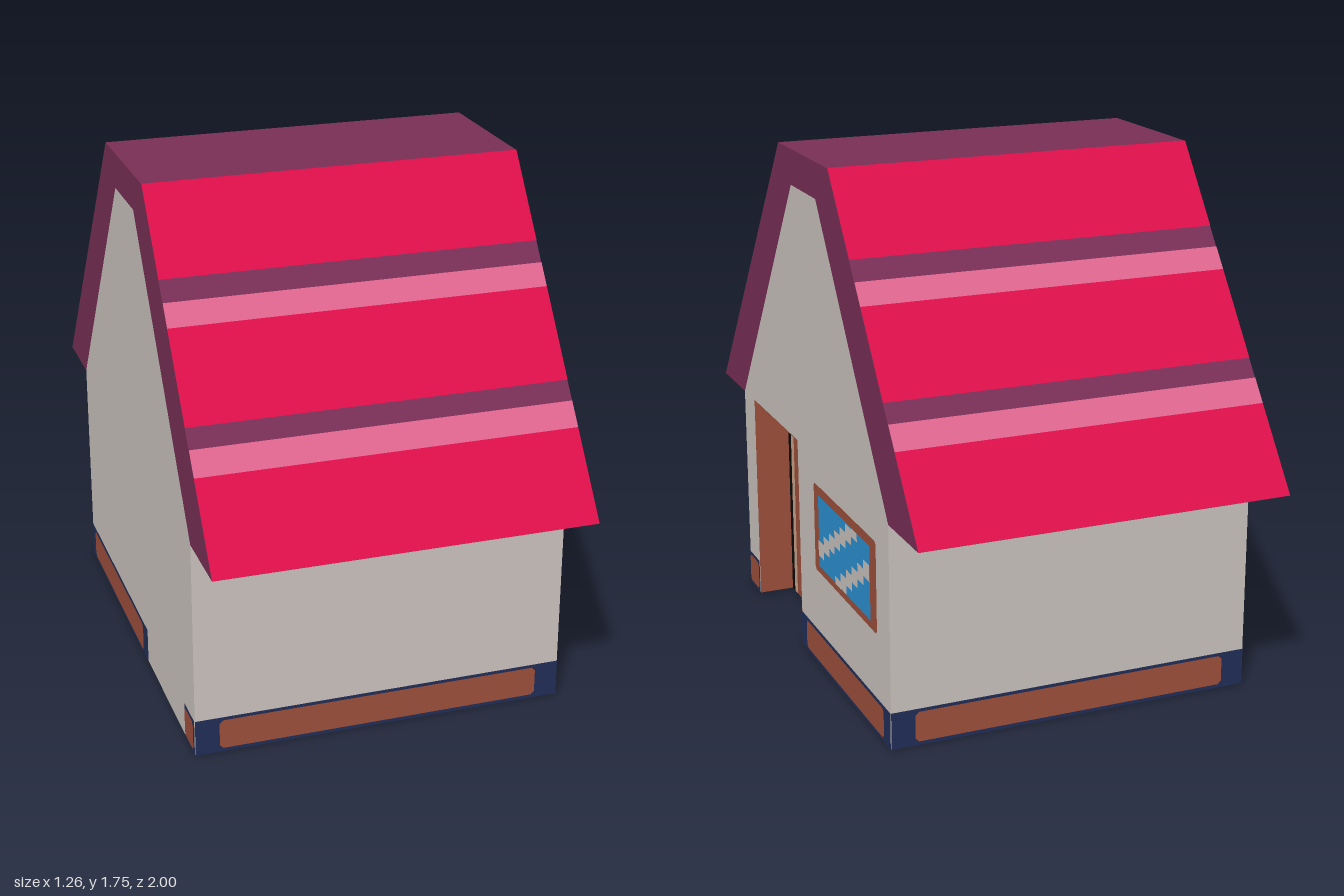
import * as THREE from 'three';

const HALF_W = 0.625, HALF_D = 0.75, BAND = 0.125;
const DOOR = { z0: 0.13, z1: 0.63, h: 0.75, x: 0.5 };

function paint(name, color) {
  const m = new THREE.MeshStandardMaterial({ color });
  m.name = name;
  return m;
}

export function createModel() {
  const wall = paint('plaster', 0xcdc5c1), red = paint('roofRed', 0xde0f4b);
  const purple = paint('roofPurple', 0x792f56), pink = paint('stripePink', 0xe0668f);
  const brown = paint('woodBrown', 0x9e503b), tan = paint('curtainTan', 0xcda489);
  const navy = paint('baseNavy', 0x212e58), blue = paint('glassBlue', 0x2c90d2);
  const black = paint('black', 0x0a0a0a);

  const model = new THREE.Group();
  model.name = 'cottage';

  function add(parent, name, geometry, material) {
    const mesh = new THREE.Mesh(geometry, material);
    mesh.name = name;
    parent.add(mesh);
    return mesh;
  }

  function polygon(points) {
    return new THREE.Shape(points.map(([x, y]) => new THREE.Vector2(x, y)));
  }

  // Solid from a (z, y) profile, running along x from x0 to x1
  function prism(name, points, x0, x1, material) {
    const shape = polygon(points.map(([z, y]) => [-z, y]));
    const geo = new THREE.ExtrudeGeometry(shape, { depth: x1 - x0, bevelEnabled: false });
    geo.rotateY(Math.PI / 2).translate(x0, 0, 0);
    return add(model, name, geo, material);
  }

  // Flat painted rectangle with clipped corners, on the local z = lift plane
  function panel(parent, name, material, u0, u1, y0, y1, lift, c = 0) {
    const points = c
      ? [[u0 + c, y0], [u1 - c, y0], [u1, y0 + c], [u1, y1 - c], [u1 - c, y1], [u0 + c, y1], [u0, y1 - c], [u0, y0 + c]]
      : [[u0, y0], [u1, y0], [u1, y1], [u0, y1]];
    const mesh = add(parent, name, new THREE.ShapeGeometry(polygon(points)), material);
    mesh.position.z = lift;
    return mesh;
  }

  // Group whose local +z points out of one side of the house
  function side(name, angle, distance) {
    const outer = new THREE.Group(), inner = new THREE.Group();
    outer.name = name;
    outer.rotation.y = angle;
    inner.position.z = distance;
    outer.add(inner);
    model.add(outer);
    return inner;
  }

  // Walls: a full core and an outer layer with the doorway left out
  const gable = [[-HALF_D, 0.75], [-0.125, 1.63], [0.125, 1.63], [HALF_D, 0.75]];
  prism('wallCore', [[-HALF_D, 0], ...gable, [HALF_D, 0]], -HALF_W, DOOR.x, wall);
  prism('doorwayWall', [[-HALF_D, 0], ...gable, [HALF_D, 0],
    [DOOR.z1, 0], [DOOR.z1, DOOR.h], [DOOR.z0, DOOR.h], [DOOR.z0, 0]], DOOR.x, HALF_W, wall);

  // Roof shell
  prism('roof', [[1, 0.75], [0.25, 1.75], [-0.25, 1.75], [-1, 0.75], ...gable],
    -HALF_W, HALF_W, purple);

  // Red and pink strips on both slopes; the purple shell shows between them
  const strips = [[0.75, 1, red], [1, 1.07, pink], [1.125, 1.375, red], [1.375, 1.44, pink], [1.5, 1.75, red]];
  for (const angle of [0, Math.PI]) {
    const slope = side(angle ? 'backSlope' : 'frontSlope', angle, 0);
    for (const [y0, y1, material] of strips) {
      const y = (y0 + y1) / 2;
      const strip = add(slope, 'roofStrip', new THREE.PlaneGeometry(2 * HALF_W, (y1 - y0) * 1.25), material);
      strip.rotation.x = -Math.asin(0.6);
      strip.position.set(0, y + 0.0012, 1 - (y - 0.75) * 0.75 + 0.0016);
    }
  }

  // Base band along the front and back
  for (const angle of [0, Math.PI]) {
    const face = side(angle ? 'backBase' : 'frontBase', angle, HALF_D);
    panel(face, 'baseBand', navy, -HALF_W, HALF_W, 0, BAND, 0.002);
    panel(face, 'basePanel', brown, -0.545, 0.545, 0.013, 0.115, 0.004, 0.012);
  }

  // Base band on both gable ends, broken at the doorway position
  const ends = [1, -1].map((s) => {
    const face = side(s > 0 ? 'leftEnd' : 'rightEnd', s * Math.PI / 2, HALF_W);
    const band = (name, material, z0, z1, y0, y1, lift, c) =>
      panel(face, name, material, Math.min(-s * z0, -s * z1), Math.max(-s * z0, -s * z1), y0, y1, lift, c);
    band('baseBand', navy, -HALF_D, DOOR.z0, 0, BAND, 0.002);
    band('basePanel', brown, -0.695, 0.07, 0.013, 0.115, 0.004, 0.012);
    band('baseBandShort', navy, DOOR.z1, HALF_D, 0, BAND, 0.002);
    band('basePanelShort', brown, DOOR.z1 + 0.005, 0.74, 0.013, 0.115, 0.004, 0.012);
    return face;
  });

  // Window with stepped reflections
  const g = { u0: 0.09, u1: 0.588, y0: 0.373, y1: 0.625 };
  panel(ends[0], 'windowFrame', brown, 0.04, 0.64, 0.346, 0.656, 0.002, 0.01);
  panel(ends[0], 'windowGlass', blue, g.u0, g.u1, g.y0, g.y1, 0.004);
  const du = (g.u1 - g.u0) / 9, dy = (g.y1 - g.y0) / 9;
  for (const [start, step] of [[5.6, 1.1], [11.5, 1.15]]) {
    for (let c = 0; c < 9; c++) {
      const top = Math.max(0, start - step * c), bottom = Math.min(9, start - step * c + 2);
      if (bottom - top < 0.3) continue;
      panel(ends[0], 'reflection', wall, g.u0 + c * du, g.u0 + (c + 1) * du,
        g.y1 - bottom * dy, g.y1 - top * dy, 0.006);
    }
  }

  // Striped curtain at the back of the doorway, with black edges
  const curtain = side('doorCurtain', Math.PI / 2, DOOR.x);
  const cuts = [0.63, 0.598, 0.566, 0.507, 0.442, 0.378, 0.314, 0.255, 0.19, 0.158, 0.13];
  for (let i = 0; i < 10; i++) {
    const material = i === 0 || i === 9 ? black : i % 2 ? tan : brown;
    panel(curtain, 'curtainStripe', material, -cuts[i], -cuts[i + 1], 0, DOOR.h, 0.002);
  }

  // Wooden lining of the doorway
  const depth = HALF_W - DOOR.x, midX = (HALF_W + DOOR.x) / 2, t = 0.003;
  for (const z of [DOOR.z0 + t / 2, DOOR.z1 - t / 2]) {
    add(model, 'doorJamb', new THREE.BoxGeometry(depth, DOOR.h, t), brown).position.set(midX, DOOR.h / 2, z);
  }
  add(model, 'doorLintel', new THREE.BoxGeometry(depth, t, DOOR.z1 - DOOR.z0), brown)
    .position.set(midX, DOOR.h - t / 2, (DOOR.z0 + DOOR.z1) / 2);

  // Underside, notched at the doorway, with a purple strip at the back
  const under = new THREE.ShapeGeometry(polygon([[-HALF_W, -0.5], [HALF_W, -0.5], [HALF_W, DOOR.z0],
    [DOOR.x, DOOR.z0], [DOOR.x, DOOR.z1], [HALF_W, DOOR.z1], [HALF_W, HALF_D], [-HALF_W, HALF_D]]));
  add(model, 'floor', under.rotateX(Math.PI / 2).translate(0, -0.002, 0), brown);
  const back = new THREE.PlaneGeometry(2 * HALF_W, 0.25);
  add(model, 'floorStrip', back.rotateX(Math.PI / 2).translate(0, -0.002, -0.625), purple);

  return model;
}
